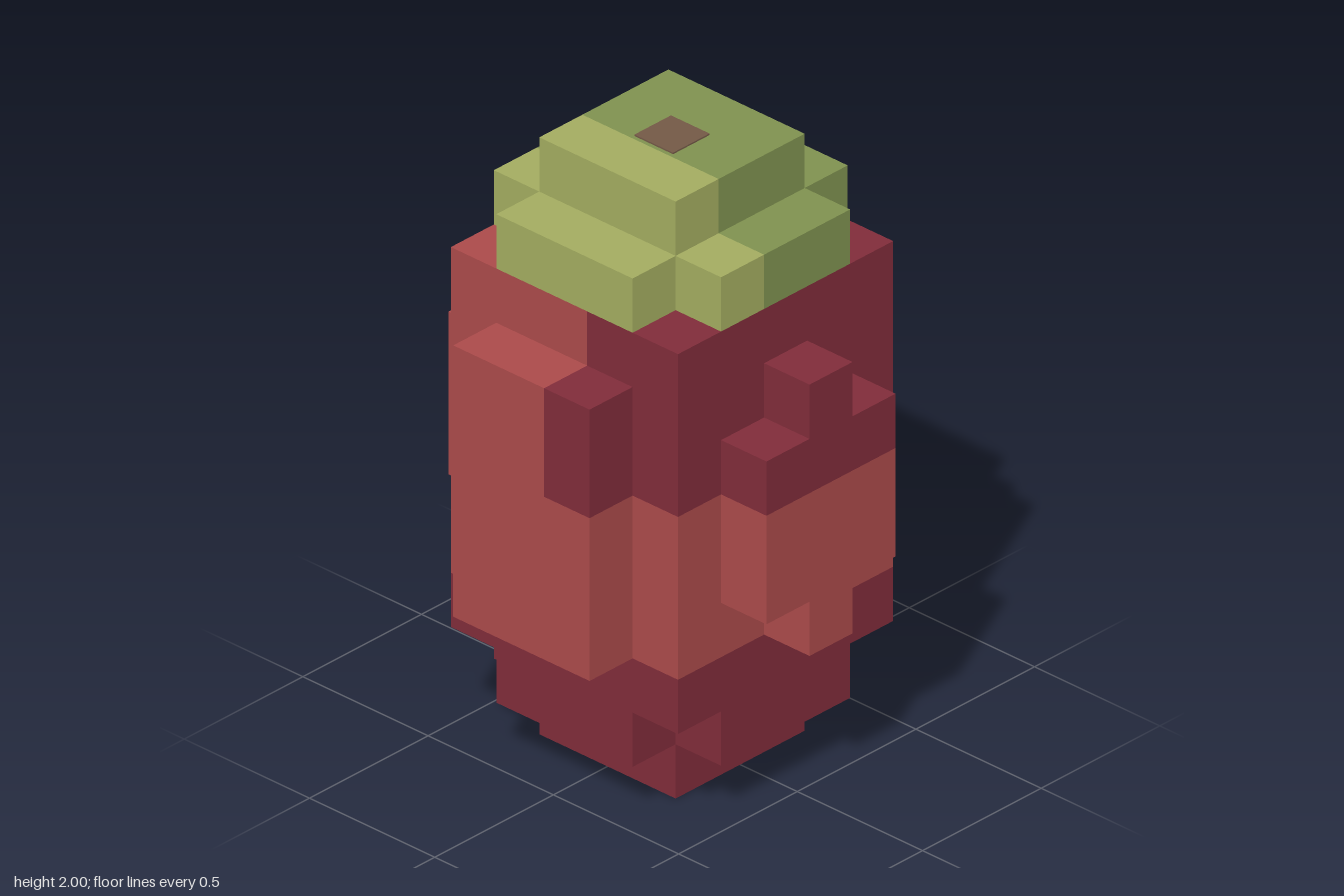
import * as THREE from 'three';
import { mergeGeometries } from 'three/addons/utils/BufferGeometryUtils.js';

const U = 1.995 / 11; // edge of one cube cell

const mat = (name, color) => {
  const m = new THREE.MeshStandardMaterial({ color });
  m.name = name;
  return m;
};

// Colour rules per cell: x and z count from the centre, y counts layers upward
const bodyColour = (x, y, z) => {
  if (y < 3) return x >= 0 && z <= 0 ? 'lightRed' : 'darkRed';
  if (y < 6) return 'lightRed';
  return x < 0 && z <= 0 ? 'lightRed' : 'darkRed';
};
const leftColour = (x, y, z) => (y >= 6 || z === 1 ? 'darkRed' : 'lightRed');
const backColour = () => 'lightRed';
const capColour = (x) => (x < 0 ? 'lightGreen' : 'green');

// Each part is a union of cell boxes: [x0, x1, y0, y1, z0, z1], ends included
const PARTS = {
  foot: { colour: bodyColour, boxes: [[-1, 1, 0, 0, -1, 1]] },
  lowerBody: { colour: bodyColour, boxes: [[-2, 2, 1, 1, -1, 1], [-1, 1, 1, 1, -2, 2]] },
  body: { colour: bodyColour, boxes: [[-2, 2, 2, 8, -2, 2]] },
  leftBulge: { colour: leftColour, boxes: [[3, 3, 3, 7, -1, 1]] },
  rightBulge: { colour: bodyColour, boxes: [[-3, -3, 3, 7, -1, 1]] },
  frontBulge: { colour: bodyColour, boxes: [[-1, 1, 4, 6, 3, 3], [0, 0, 3, 7, 3, 3]] },
  backBulge: { colour: backColour, boxes: [[-1, 1, 4, 6, -3, -3], [0, 0, 3, 7, -3, -3]] },
  leafCollar: { colour: capColour, boxes: [[-2, 2, 9, 9, -1, 1], [-1, 1, 9, 9, -2, 2]] },
  leafCrown: { colour: capColour, boxes: [[-1, 1, 10, 10, -1, 1]] },
};

// Six outward directions with the turn that points a plane (+z) that way
const SIDES = [
  [1, 0, 0, 0, Math.PI / 2], [-1, 0, 0, 0, -Math.PI / 2],
  [0, 1, 0, -Math.PI / 2, 0], [0, -1, 0, Math.PI / 2, 0],
  [0, 0, 1, 0, 0], [0, 0, -1, 0, Math.PI],
];

const cellsOf = (boxes) => {
  const cells = new Map();
  for (const [x0, x1, y0, y1, z0, z1] of boxes)
    for (let x = x0; x <= x1; x++)
      for (let y = y0; y <= y1; y++)
        for (let z = z0; z <= z1; z++) cells.set(`${x},${y},${z}`, [x, y, z]);
  return cells;
};

// One outer face of a cell
const faceOf = ([x, y, z], [dx, dy, dz, rx, ry]) => {
  const g = new THREE.PlaneGeometry(U, U);
  g.rotateX(rx).rotateY(ry);
  return g.translate((x + dx / 2) * U, (y + 0.5 + dy / 2) * U, (z + dz / 2) * U);
};

export function createModel() {
  const model = new THREE.Group();
  model.name = 'blockFruit';
  const materials = {
    darkRed: mat('darkRed', 0x802c3a),
    lightRed: mat('lightRed', 0xab4a4a),
    green: mat('green', 0x7f914f),
    lightGreen: mat('lightGreen', 0xa3ac60),
    brown: mat('stemBrown', 0x735946),
  };

  const filled = cellsOf(Object.values(PARTS).flatMap((p) => p.boxes));

  // Keep only exposed faces, gathered by colour within each part
  for (const [name, { colour, boxes }] of Object.entries(PARTS)) {
    const part = new THREE.Group();
    part.name = name;
    const faces = {};
    for (const cell of cellsOf(boxes).values()) {
      const [x, y, z] = cell;
      for (const side of SIDES) {
        if (filled.has(`${x + side[0]},${y + side[1]},${z + side[2]}`)) continue;
        (faces[colour(x, y, z)] ??= []).push(faceOf(cell, side));
      }
    }
    for (const [key, list] of Object.entries(faces)) {
      const mesh = new THREE.Mesh(mergeGeometries(list), materials[key]);
      mesh.name = `${name} ${key}`;
      part.add(mesh);
    }
    model.add(part);
  }

  // Thin stem scar on top
  const stem = new THREE.Mesh(new THREE.BoxGeometry(0.154, 0.005, 0.154), materials.brown);
  stem.name = 'stem';
  stem.position.y = 11 * U + 0.0025;
  model.add(stem);
  return model;
}
